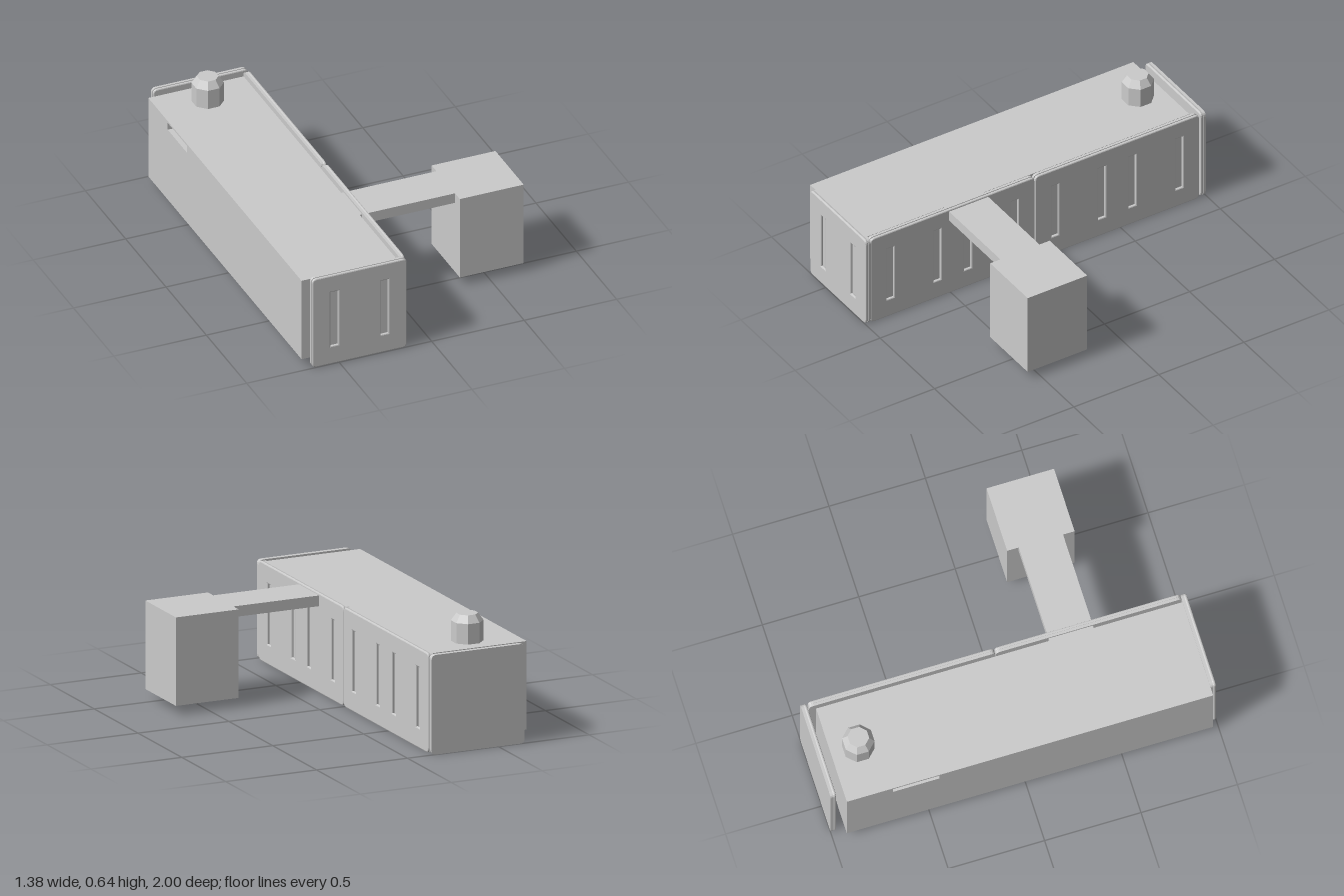
import * as THREE from 'three';

const material = new THREE.MeshStandardMaterial({ color: 0xcccccc, flatShading: true });

function add(parent, name, geometry) {
  const mesh = new THREE.Mesh(geometry, material);
  mesh.name = name;
  parent.add(mesh);
  return mesh;
}

// Box given by its lower and upper corners
function block(parent, name, [x0, y0, z0], [x1, y1, z1]) {
  const mesh = add(parent, name, new THREE.BoxGeometry(x1 - x0, y1 - y0, z1 - z0));
  mesh.position.set((x0 + x1) / 2, (y0 + y1) / 2, (z0 + z1) / 2);
  return mesh;
}

function rectPath(path, x0, y0, x1, y1) {
  path.moveTo(x0, y0);
  path.lineTo(x1, y0);
  path.lineTo(x1, y1);
  path.lineTo(x0, y1);
  path.closePath();
  return path;
}

function roundedShape(width, y0, y1, r) {
  const w = width / 2, s = new THREE.Shape();
  s.moveTo(-w + r, y0);
  s.lineTo(w - r, y0);
  s.quadraticCurveTo(w, y0, w, y0 + r);
  s.lineTo(w, y1 - r);
  s.quadraticCurveTo(w, y1, w - r, y1);
  s.lineTo(-w + r, y1);
  s.quadraticCurveTo(-w, y1, -w, y1 - r);
  s.lineTo(-w, y0 + r);
  s.quadraticCurveTo(-w, y0, -w + r, y0);
  return s;
}

// Wall panel 0.03 thick facing +z, with upright recessed slots centred at the given offsets
function panel(name, width, slots) {
  const group = new THREE.Group();
  group.name = name;
  const plain = roundedShape(width, 0.003, 0.515, 0.025);
  add(group, 'panelBacking', new THREE.ExtrudeGeometry(plain, { depth: 0.014, bevelEnabled: false, curveSegments: 4 }));
  const face = roundedShape(width, 0.003, 0.515, 0.025);
  for (const s of slots) face.holes.push(rectPath(new THREE.Path(), s - 0.02, 0.107, s + 0.02, 0.418));
  const bevel = 0.006;
  const facing = add(group, 'panelFace', new THREE.ExtrudeGeometry(face, {
    depth: 0.004, bevelThickness: bevel, bevelSize: bevel, bevelOffset: -bevel, bevelSegments: 2, curveSegments: 4,
  }));
  facing.position.z = 0.02;
  return group;
}

export function createModel() {
  const model = new THREE.Group();
  model.name = 'building';

  // Long main hall, with an outer wall holding a shallow slot under the roof edge
  block(model, 'mainHall', [-0.66, 0.05, -0.93], [-0.175, 0.505, 0.97]);
  const wall = rectPath(new THREE.Shape(), -0.93, 0.05, 0.97, 0.505);
  wall.holes.push(rectPath(new THREE.Path(), -0.69, 0.455, -0.45, 0.495));
  const outerWall = add(model, 'outerWall', new THREE.ExtrudeGeometry(wall, { depth: 0.03, bevelEnabled: false }));
  outerWall.rotation.y = -Math.PI / 2;
  outerWall.position.x = -0.66;

  // Slotted panels at both ends
  for (const [name, z] of [['frontPanel', 0.97], ['backPanel', -1]]) {
    const end = panel(name, 0.512, [-0.136, 0.136]);
    end.position.set(-0.389, 0, z);
    model.add(end);
  }

  // Two slotted panels along the side
  for (const [name, z] of [['sidePanelFront', 0.489], ['sidePanelBack', -0.479]]) {
    const side = panel(name, 0.966, [-0.365, -0.09, 0.09, 0.365]);
    side.rotation.y = Math.PI / 2;
    side.position.set(-0.162, 0, z);
    model.add(side);
  }

  // Bridge and detached block
  block(model, 'bridge', [-0.175, 0.45, 0.28], [0.34, 0.505, 0.51]);
  block(model, 'annex', [0.34, 0.05, 0.22], [0.685, 0.505, 0.57]);

  // Eight-sided roof turret with a tapered top
  const c = 1 / Math.cos(Math.PI / 8);
  const profile = [[0, 0.5], [0.075 * c, 0.5], [0.075 * c, 0.61], [0.05 * c, 0.648], [0, 0.648]]
    .map(([x, y]) => new THREE.Vector2(x, y));
  const turret = add(model, 'roofTurret', new THREE.LatheGeometry(profile, 8, Math.PI / 8));
  turret.position.set(-0.43, 0, -0.79);

  return model;
}
